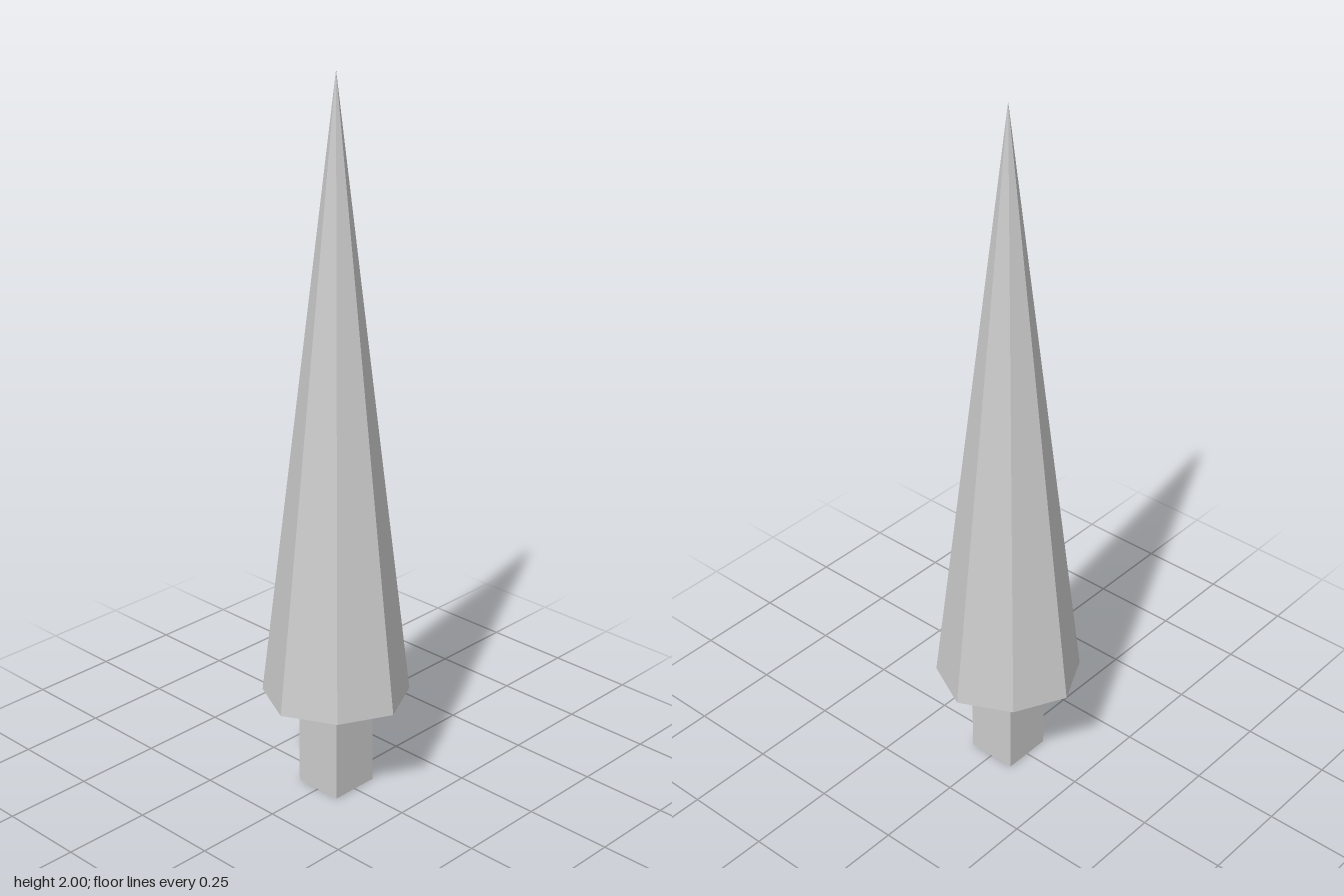
import * as THREE from 'three';

const TRUNK_HEIGHT = 0.29;
const TRUNK_WIDTH = 0.144;
const CROWN_HEIGHT = 1.71;
const CROWN_RADIUS = 0.214;
const CROWN_CORNER = 0.143; // x and z offset of the diagonal corners

// Eight-sided cone whose diagonal corners are pulled slightly inward
function crownGeometry() {
  const cone = new THREE.ConeGeometry(CROWN_RADIUS, CROWN_HEIGHT, 8);
  const pos = cone.attributes.position;
  for (let i = 0; i < pos.count; i++) {
    const x = pos.getX(i), z = pos.getZ(i);
    if (Math.abs(x) > 0.01 && Math.abs(z) > 0.01) {
      pos.setX(i, Math.sign(x) * CROWN_CORNER);
      pos.setZ(i, Math.sign(z) * CROWN_CORNER);
    }
  }
  const flat = cone.toNonIndexed();
  flat.computeVertexNormals();
  return flat;
}

export function createModel() {
  const tree = new THREE.Group();
  tree.name = 'tree';
  const material = new THREE.MeshStandardMaterial({ color: 0xcccccc, flatShading: true });

  // Square trunk
  const trunk = new THREE.Mesh(new THREE.BoxGeometry(TRUNK_WIDTH, TRUNK_HEIGHT, TRUNK_WIDTH), material);
  trunk.name = 'trunk';
  trunk.position.y = TRUNK_HEIGHT / 2;

  // Tall pointed crown with a flat underside
  const crown = new THREE.Mesh(crownGeometry(), material);
  crown.name = 'crown';
  crown.position.y = TRUNK_HEIGHT + CROWN_HEIGHT / 2;

  tree.add(trunk, crown);
  return tree;
}
